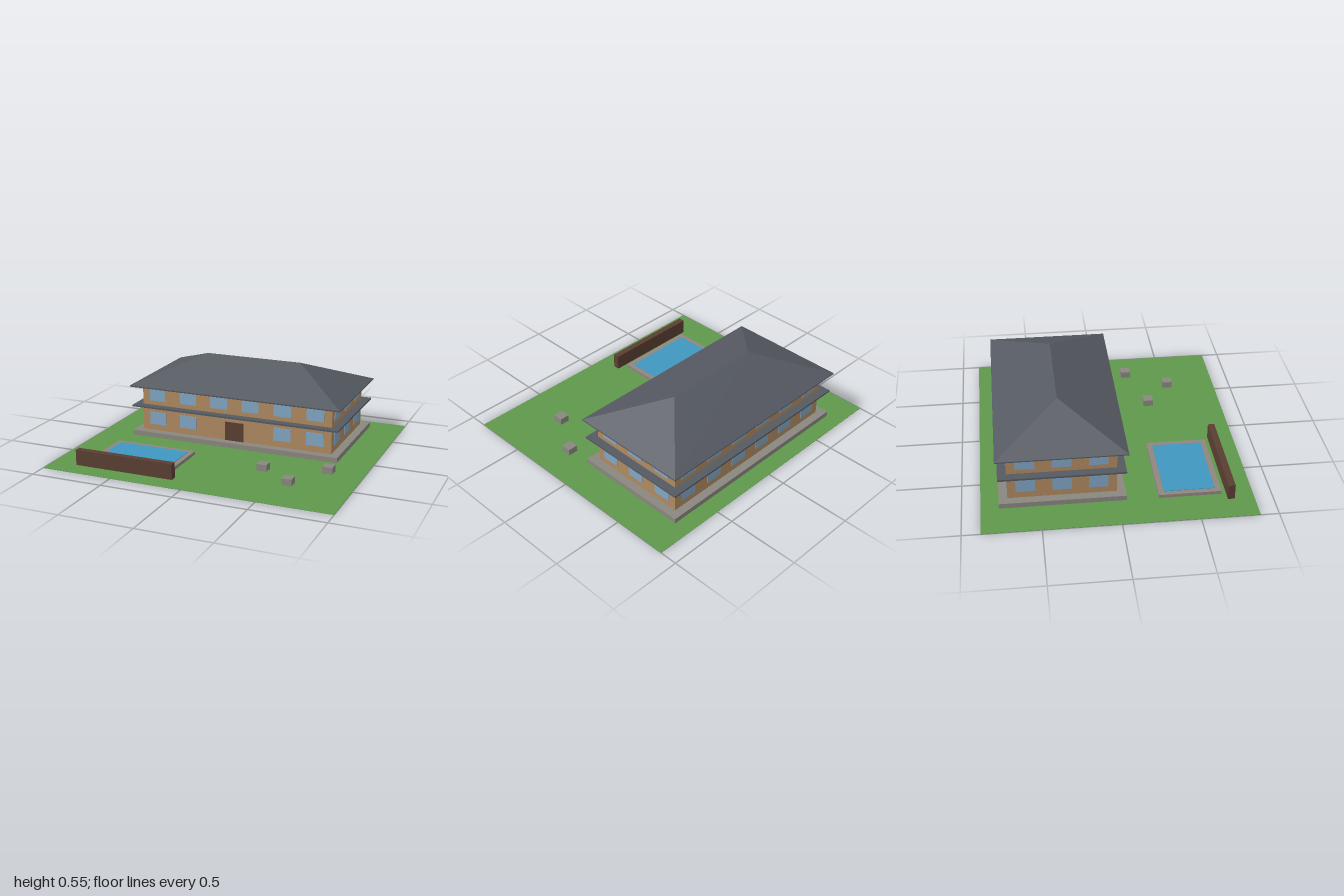
import * as THREE from 'three';

const mat = (name, color) => {
  const m = new THREE.MeshStandardMaterial({ color });
  m.name = name;
  return m;
};

export function createModel() {
  const model = new THREE.Group();
  model.name = 'houseWithPool';

  const grass = mat('grass green', 0x5f984c);
  const wall = mat('tan wall', 0xb08a60);
  const slate = mat('slate grey', 0x555961);
  const stone = mat('stone grey', 0x8a877f);
  const rimStone = mat('pool rim stone', 0x8f867f);
  const glass = mat('window blue', 0x82a6c4);
  const brown = mat('dark brown', 0x5a3e32);
  const water = mat('pool water', 0x3f97c0);

  // Box given by its min and max on each axis
  function box(name, material, [x0, x1], [y0, y1], [z0, z1], parent = model) {
    const mesh = new THREE.Mesh(new THREE.BoxGeometry(x1 - x0, y1 - y0, z1 - z0), material);
    mesh.position.set((x0 + x1) / 2, (y0 + y1) / 2, (z0 + z1) / 2);
    mesh.name = name;
    parent.add(mesh);
    return mesh;
  }

  // Lawn
  const G = 0.002;
  box('lawn', grass, [-1, 1], [0, G], [-0.88, 0.88]);

  // House, centred on its own footprint
  const house = new THREE.Group();
  house.name = 'house';
  house.position.z = -0.353;
  model.add(house);
  const W = 0.705, D = 0.353;
  box('foundation', stone, [-0.763, 0.763], [G, 0.037], [-0.41, 0.41], house);
  box('walls', wall, [-W, W], [0.037, 0.364], [-D, D], house);
  box('middleEave', slate, [-0.763, 0.763], [0.214, 0.226], [-0.41, 0.41], house);
  box('soffit', brown, [-0.77, 0.77], [0.361, 0.366], [-0.417, 0.417], house);
  box('roofEdge', slate, [-0.775, 0.775], [0.364, 0.371], [-0.421, 0.421], house);

  // Hipped roof: two trapezoids and two triangles
  const a = [-0.775, 0.37, 0.421], b = [0.775, 0.37, 0.421];
  const c = [0.775, 0.37, -0.421], d = [-0.775, 0.37, -0.421];
  const l = [-0.353, 0.55, 0], r = [0.353, 0.55, 0];
  const roofGeo = new THREE.BufferGeometry();
  const corners = [a, b, r, a, r, l, b, c, r, c, d, l, c, l, r, d, a, l];
  roofGeo.setAttribute('position', new THREE.Float32BufferAttribute(corners.flat(), 3));
  roofGeo.computeVertexNormals();
  const roof = new THREE.Mesh(roofGeo, slate);
  roof.name = 'roof';
  house.add(roof);

  // Windows on all four sides, two floors
  const windows = new THREE.Group();
  windows.name = 'windows';
  house.add(windows);
  const w = 0.0625, t = 0.004;
  for (const [floor, y0] of [['lower', 0.082], ['upper', 0.258]]) {
    const ys = [y0, y0 + 0.092];
    for (const side of [-1, 1]) {
      for (let i = 0; i < 6; i++) {
        const x = (i - 2.5) * 0.235;
        // The door takes the middle of the lower front
        if (side === 1 && floor === 'lower' && (i === 2 || i === 3)) continue;
        box(floor + (side > 0 ? 'FrontWindow' : 'BackWindow'), glass,
          [x - w, x + w], ys, [side * D - t, side * D + t], windows);
      }
      for (let i = -1; i <= 1; i++) {
        const z = i * 0.235;
        box(floor + (side > 0 ? 'LeftWindow' : 'RightWindow'), glass,
          [side * W - t, side * W + t], ys, [z - w, z + w], windows);
      }
    }
  }
  box('door', brown, [-0.07, 0.07], [0.037, 0.171], [D - 0.004, D + 0.005], house);

  // Pool: rim of four bars around the water
  const pool = new THREE.Group();
  pool.name = 'pool';
  model.add(pool);
  const ry = [G, 0.025];
  box('rimBack', rimStone, [-0.765, -0.18], ry, [0.265, 0.303], pool);
  box('rimFront', rimStone, [-0.765, -0.18], ry, [0.637, 0.675], pool);
  box('rimRight', rimStone, [-0.765, -0.73], ry, [0.303, 0.637], pool);
  box('rimLeft', rimStone, [-0.217, -0.18], ry, [0.303, 0.637], pool);
  box('water', water, [-0.73, -0.217], [G, 0.028], [0.303, 0.637], pool);

  // Garden wall in front of the pool
  box('gardenWall', brown, [-0.823, -0.12], [G, 0.108], [0.705, 0.75]);

  // Stone blocks on the lawn
  for (const [x, z] of [[0.352, 0.352], [0.587, 0.528], [0.763, 0.235]]) {
    box('stoneBlock', stone, [x - 0.035, x + 0.035], [G, 0.048], [z - 0.035, z + 0.035]);
  }

  return model;
}
